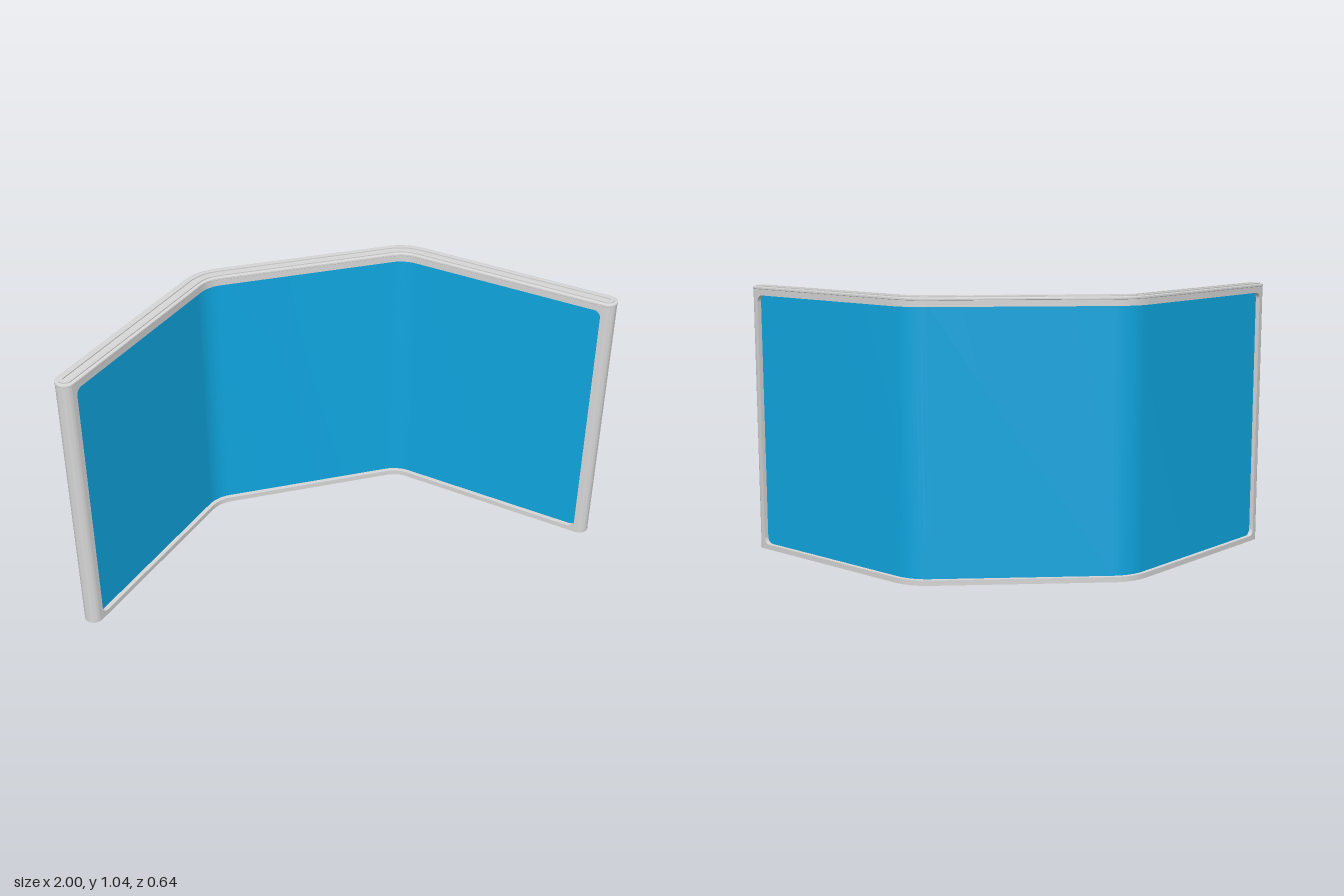
import * as THREE from 'three';
import { toCreasedNormals } from 'three/addons/utils/BufferGeometryUtils.js';

// Plan of the centre line: straight back, 45 degree wings, filleted bends
const BEND = 0.145, BEND_X = 0.333, BEND_Z = -0.14;
const END_X = 0.963, END_Z = 0.285;
const RAIL = 0.035, CAP = 0.037;
const OPEN_LOW = 0.02, OPEN_HIGH = 1.005;

const frameGrey = new THREE.MeshStandardMaterial({ color: 0xd6d6d6 });
frameGrey.name = 'frame grey';
const panelBlue = new THREE.MeshStandardMaterial({ color: 0x0fa6e0 });
panelBlue.name = 'panel blue';
const baseGreen = new THREE.MeshStandardMaterial({ color: 0x008000 });
baseGreen.name = 'base green';

// Outline of a strip following the plan, with round or flat ends
function stripPoints(half, round = true) {
  const right = [];
  const polar = (cx, cz, r, a) => right.push(new THREE.Vector2(cx + r * Math.cos(a), cz + r * Math.sin(a)));
  const arcSteps = 8, endSteps = round ? 14 : 1;
  for (let i = 0; i <= arcSteps; i++) polar(BEND_X, BEND_Z, BEND + half, -Math.PI / 2 + (i / arcSteps) * Math.PI / 4);
  for (let i = 0; i <= endSteps; i++) polar(END_X, END_Z, half, -Math.PI / 4 + (i / endSteps) * Math.PI);
  for (let i = arcSteps; i >= 0; i--) polar(BEND_X, BEND_Z, BEND - half, -Math.PI / 2 + (i / arcSteps) * Math.PI / 4);
  const left = right.map((p) => new THREE.Vector2(-p.x, p.y)).reverse();
  return [...right, ...left];
}

// Extrudes a plan shape (x, z) upwards between two heights
function raise(shape, low, high, bevel = 0) {
  const geo = new THREE.ExtrudeGeometry(shape, {
    depth: high - low - 2 * bevel, curveSegments: 14,
    bevelEnabled: bevel > 0, bevelThickness: bevel, bevelSize: bevel, bevelOffset: -bevel, bevelSegments: 2,
  });
  geo.rotateX(Math.PI / 2);
  geo.translate(0, high - bevel, 0);
  return toCreasedNormals(geo, 0.5);
}

function strip(name, material, half, low, high, { hole = 0, round = true, bevel = 0 } = {}) {
  const shape = new THREE.Shape(stripPoints(half, round));
  if (hole) shape.holes.push(new THREE.Path(stripPoints(hole)));
  const mesh = new THREE.Mesh(raise(shape, low, high, bevel), material);
  mesh.name = name;
  return mesh;
}

// End post: half-round outside, with concave corner fillets round the opening
function endPost(name) {
  const post = new THREE.Group();
  post.name = name;
  const inner = 0.01, fillet = 0.025;

  const plan = new THREE.Shape();
  plan.moveTo(inner, -RAIL);
  plan.lineTo(inner, RAIL);
  plan.lineTo(0, RAIL);
  plan.absarc(0, 0, RAIL, Math.PI / 2, Math.PI * 1.5, false);
  const upright = new THREE.Mesh(raise(plan, 0.012, 1.028), frameGrey);
  upright.name = 'upright';
  post.add(upright);

  for (const [y, dir] of [[OPEN_LOW, 1], [OPEN_HIGH, -1]]) {
    const corner = new THREE.Shape();
    corner.moveTo(inner, y);
    for (let i = 0; i <= 6; i++) {
      const a = (i / 6) * Math.PI / 2;
      corner.lineTo(inner + fillet * (1 - Math.sin(a)), y + dir * fillet * (1 - Math.cos(a)));
    }
    const geo = new THREE.ExtrudeGeometry(corner, { depth: RAIL * 2, bevelEnabled: false });
    geo.translate(0, 0, -RAIL);
    const mesh = new THREE.Mesh(toCreasedNormals(geo, 0.5), frameGrey);
    mesh.name = 'cornerFillet';
    post.add(mesh);
  }
  return post;
}

export function createModel() {
  const model = new THREE.Group();
  model.name = 'foldedScreen';

  // Blue panel
  model.add(strip('panel', panelBlue, 0.018, 0.016, 1.01, { round: false }));

  // Bottom rail with a recessed green underside
  model.add(strip('bottomRim', frameGrey, RAIL, 0, 0.012, { hole: 0.024 }));
  model.add(strip('bottomRail', frameGrey, RAIL, 0.012, OPEN_LOW));
  model.add(strip('baseStrip', baseGreen, 0.024, 0.006, 0.0119));

  // Top rail and overhanging, grooved cap
  model.add(strip('topRail', frameGrey, RAIL, OPEN_HIGH, 1.028));
  model.add(strip('capEdge', frameGrey, CAP, 1.028, 1.038, { bevel: 0.003 }));
  model.add(strip('capRidge', frameGrey, 0.024, 1.037, 1.042, { hole: 0.009 }));

  // Posts at both wing ends, turned to run along the wings
  for (const side of [1, -1]) {
    const post = endPost(side > 0 ? 'leftPost' : 'rightPost');
    post.position.set(side * END_X, 0, END_Z);
    post.rotation.y = side > 0 ? Math.PI * 0.75 : Math.PI * 0.25;
    model.add(post);
  }
  return model;
}
